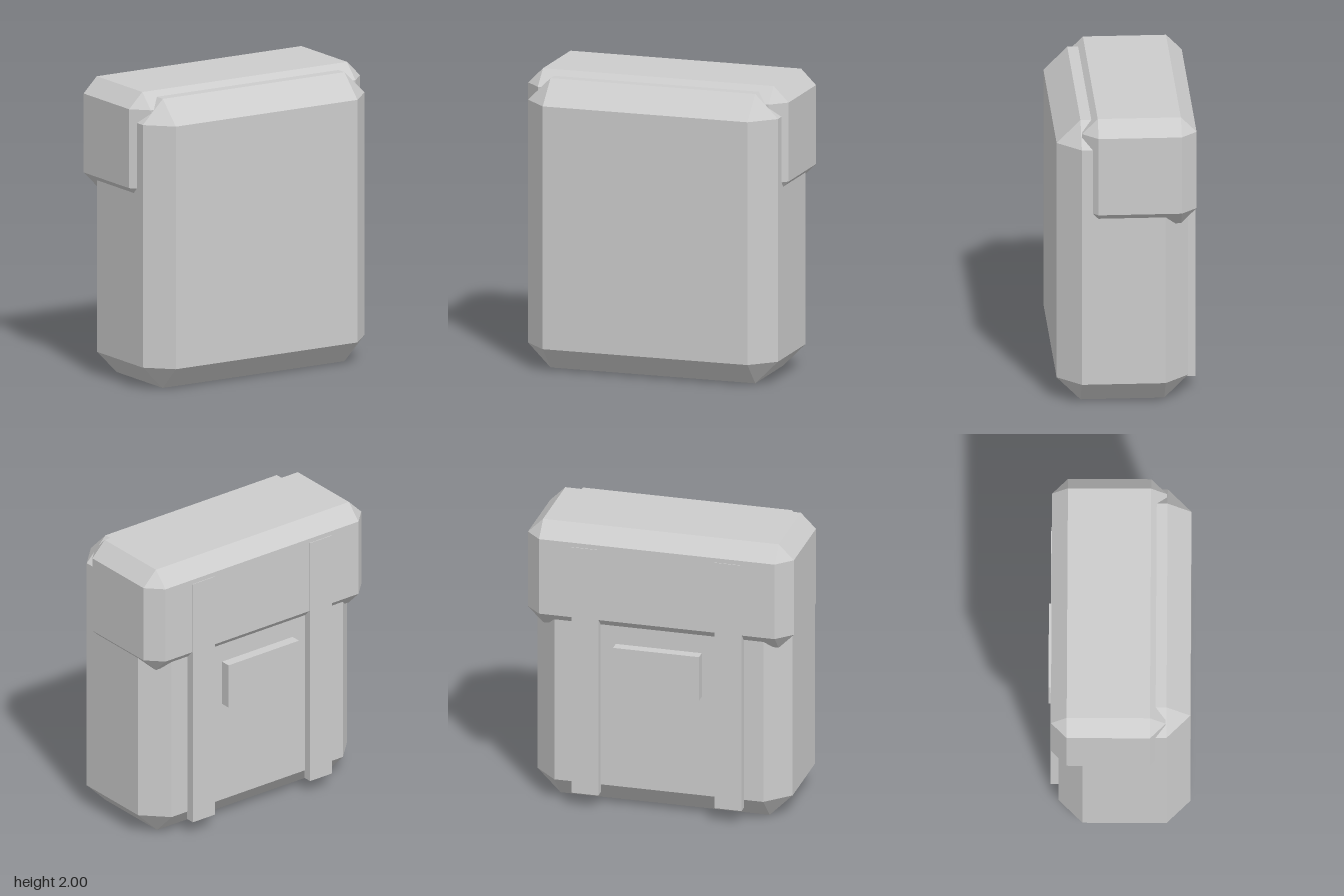
import * as THREE from 'three';
import { ConvexGeometry } from 'three/addons/geometries/ConvexGeometry.js';

// Box with every edge cut at 45 degrees, given by its min and max corners
function chamferedBox(min, max, c) {
  const half = max.map((v, i) => (v - min[i]) / 2);
  const mid = max.map((v, i) => (v + min[i]) / 2);
  const points = [];
  for (const sx of [-1, 1]) for (const sy of [-1, 1]) for (const sz of [-1, 1]) {
    const s = [sx, sy, sz];
    // three points per corner, one on each adjoining face
    for (let axis = 0; axis < 3; axis++) {
      points.push(new THREE.Vector3(...s.map((sign, i) =>
        mid[i] + sign * (half[i] - (i === axis ? 0 : c)))));
    }
  }
  return new ConvexGeometry(points);
}

// Plain box given by its min and max corners
function box(min, max) {
  const g = new THREE.BoxGeometry(...max.map((v, i) => v - min[i]));
  return g.translate(...max.map((v, i) => (v + min[i]) / 2));
}

export function createModel() {
  const model = new THREE.Group();
  model.name = 'backpack';
  const grey = new THREE.MeshStandardMaterial({ color: 0xcccccc });
  grey.name = 'light grey';

  const add = (name, geometry) => {
    const mesh = new THREE.Mesh(geometry, grey);
    mesh.name = name;
    model.add(mesh);
  };

  // Main bag and the flap that overlaps its top
  add('body', chamferedBox([-0.875, 0, -0.402], [0.875, 1.963, 0.469], 0.158));
  add('lid', chamferedBox([-0.912, 1.256, -0.453], [0.912, 2, 0.306], 0.104));

  // Two straps down the back
  for (const side of [-1, 1]) {
    const x = side * 0.491;
    add(side > 0 ? 'leftStrap' : 'rightStrap',
      box([x - 0.092, 0.1, -0.458], [x + 0.092, 1.865, -0.396]));
  }

  // Raised panel between the straps
  add('backPanel', box([-0.295, 0.867, -0.472], [0.295, 1.18, -0.39]));

  return model;
}
